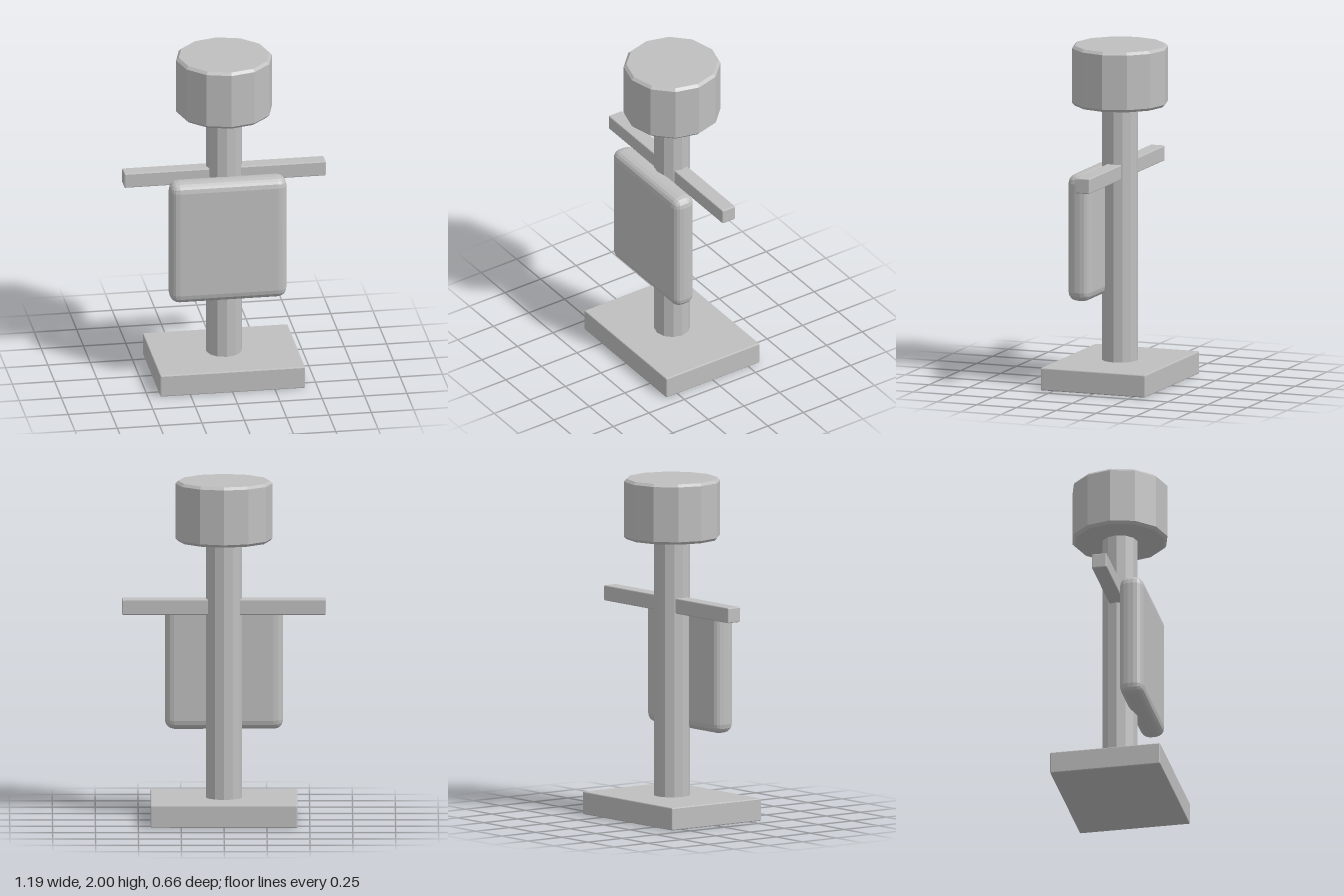
import * as THREE from 'three';
import { RoundedBoxGeometry } from 'three/addons/geometries/RoundedBoxGeometry.js';

export function createModel() {
  const model = new THREE.Group();
  model.name = 'trainingDummy';
  const grey = new THREE.MeshStandardMaterial({ color: 0xbfbfbf, flatShading: true });
  grey.name = 'plain grey';

  function add(name, geometry, x, y, z) {
    const mesh = new THREE.Mesh(geometry, grey);
    mesh.name = name;
    mesh.position.set(x, y, z);
    model.add(mesh);
  }

  // Twelve-sided solid with a narrow bevel at both rims
  function bevelledDrum(radius, height, bevel) {
    const h = height / 2;
    const profile = [
      [0, -h], [radius - bevel, -h], [radius, -h + bevel],
      [radius, h - bevel], [radius - bevel, h], [0, h],
    ].map(([r, y]) => new THREE.Vector2(r, y));
    return new THREE.LatheGeometry(profile, 12);
  }

  // Foot plate and upright
  add('base', new RoundedBoxGeometry(0.856, 0.133, 0.656, 1, 0.006), 0, 0.0665, 0);
  add('post', new THREE.CylinderGeometry(0.105, 0.105, 1.56, 12), 0, 0.89, 0);

  // Crossbar arms
  add('crossbar', new RoundedBoxGeometry(1.19, 0.09, 0.09, 1, 0.006), 0, 1.26, 0);

  // Softly rounded chest panel, mounted in front of the post
  add('chestPanel', new RoundedBoxGeometry(0.69, 0.754, 0.142, 2, 0.055), 0, 0.897, 0.132);

  // Drum-shaped head
  add('head', bevelledDrum(0.283, 0.355, 0.016), 0, 1.8225, 0);

  return model;
}
